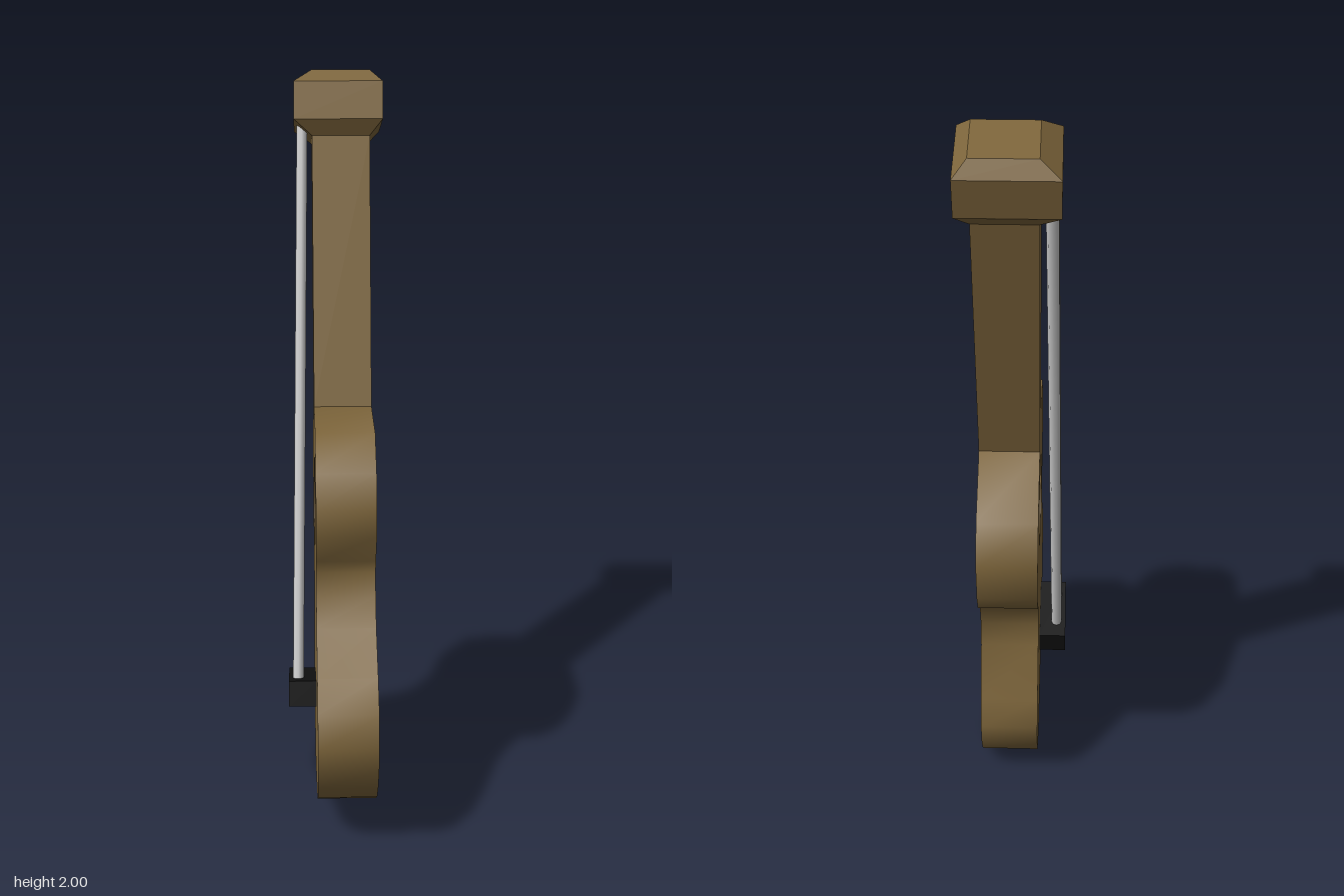
import * as THREE from 'three';
import { toCreasedNormals } from 'three/addons/utils/BufferGeometryUtils.js';

const wood = new THREE.MeshStandardMaterial({ color: 0x7d653b });
const black = new THREE.MeshStandardMaterial({ color: 0x111111 });
const grey = new THREE.MeshStandardMaterial({ color: 0xcccccc });

const FRONT = -0.06, BACK = 0.1, MID = 0.02; // soundboard, back and middle planes in x
const HOLE = { z: -0.065, y: 0.83, r: 0.13, floor: 0.04 };

// Body outline as [z, y]
const OUTLINE = [
  [-0.07, 1.11], [0.14, 1.1], [0.23, 1.02], [0.27, 0.93], [0.27, 0.855], [0.23, 0.77],
  [0.22, 0.735], [0.24, 0.67], [0.285, 0.6], [0.4, 0.51], [0.47, 0.44], [0.495, 0.35],
  [0.48, 0.28], [0.445, 0.21], [0.4, 0.155], [0.34, 0.115], [-0.03, 0.005], [-0.095, 0.01],
  [-0.165, 0.035], [-0.235, 0.075], [-0.28, 0.135], [-0.305, 0.215], [-0.285, 0.3],
  [-0.235, 0.455], [-0.235, 0.53], [-0.265, 0.605], [-0.285, 0.625], [-0.355, 0.67],
  [-0.39, 0.725], [-0.415, 0.84], [-0.375, 0.95], [-0.21, 1.07],
];

function add(parent, name, geometry, material, x = 0, y = 0, z = 0) {
  const mesh = new THREE.Mesh(geometry, material);
  mesh.name = name;
  mesh.position.set(x, y, z);
  parent.add(mesh);
  return mesh;
}

// Head block: a box whose end rows are narrower than its two middle rows
function headGeometry() {
  const geo = new THREE.BoxGeometry(2, 3, 2, 1, 3, 1);
  const pos = geo.attributes.position;
  const rows = [0, 0.04, 0.143, 0.18];
  for (let i = 0; i < pos.count; i++) {
    const row = Math.round(pos.getY(i) + 1.5);
    const wide = row === 1 || row === 2;
    pos.setXYZ(i,
      wide ? 0.0125 + pos.getX(i) * 0.1225 : MID + pos.getX(i) * 0.08,
      rows[row],
      pos.getZ(i) * (wide ? 0.105 : 0.074));
  }
  const flat = geo.toNonIndexed();
  flat.computeVertexNormals();
  return flat;
}

export function createModel() {
  const model = new THREE.Group();
  model.name = 'guitar';

  // Body with a round sound hole
  const shape = new THREE.Shape(OUTLINE.map(([z, y]) => new THREE.Vector2(-z, y)));
  const hole = new THREE.Path();
  hole.absarc(-HOLE.z, HOLE.y, HOLE.r, 0, Math.PI * 2, true);
  shape.holes.push(hole);
  const bodyGeo = new THREE.ExtrudeGeometry(shape, {
    depth: BACK - FRONT, bevelEnabled: false, curveSegments: 12,
  });
  const body = add(model, 'body', toCreasedNormals(bodyGeo, 0.7), wood, FRONT);
  body.rotation.y = Math.PI / 2;

  // Plug that closes the hole at the back, with a dark floor
  const plugGeo = new THREE.CylinderGeometry(HOLE.r, HOLE.r, BACK - HOLE.floor, 24);
  const plug = add(model, 'soundHoleFloor', plugGeo, [wood, black, wood],
    (BACK + HOLE.floor) / 2, HOLE.y, HOLE.z);
  plug.rotation.z = Math.PI / 2;

  // Tilted parts share an origin at the top of the neck
  const tilted = new THREE.Group();
  tilted.name = 'neckAssembly';
  tilted.position.set(0, 1.808, -0.35);
  tilted.rotation.x = -0.284;
  model.add(tilted);

  add(tilted, 'neck', new THREE.BoxGeometry(BACK - FRONT, 0.75, 0.146), wood, MID, -0.375);
  add(tilted, 'head', headGeometry(), wood);
  add(tilted, 'bridge', new THREE.BoxGeometry(0.076, 0.071, 0.203), black, -0.098, -1.547);

  // Strings from bridge to head
  for (const side of [-1, 0, 1]) {
    const low = new THREE.Vector3(-0.11, -1.54, side * 0.048);
    const high = new THREE.Vector3(-0.087, 0.05, side * 0.04);
    const along = high.clone().sub(low);
    const string = add(tilted, 'string',
      new THREE.CylinderGeometry(0.015, 0.015, along.length(), 8), grey);
    string.position.copy(low).add(high).multiplyScalar(0.5);
    string.quaternion.setFromUnitVectors(new THREE.Vector3(0, 1, 0), along.normalize());
  }

  return model;
}
